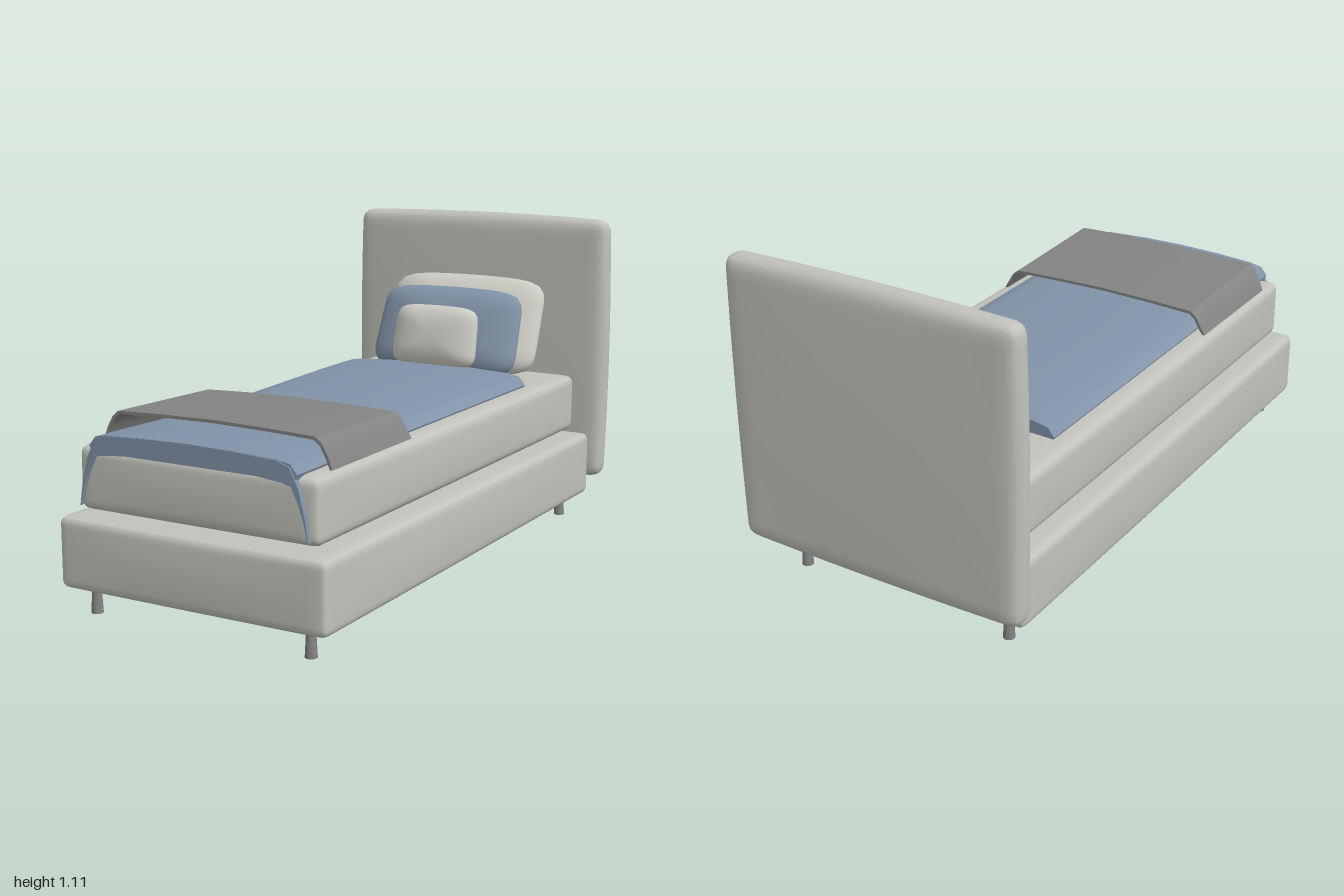
import * as THREE from 'three';
import { mergeVertices, toCreasedNormals } from 'three/addons/utils/BufferGeometryUtils.js';

const material = (name, color, side = THREE.FrontSide) => {
  const m = new THREE.MeshStandardMaterial({ color, side });
  m.name = name;
  return m;
};

// Upholstered block: rounded edges, and faces that swell by "bulge" at the middle.
function cushionBlock(w, h, d, r, bulge) {
  const n = 24;
  const geo = new THREE.BoxGeometry(1, 1, 1, n, n, n);
  const half = [w, h, d].map((s) => s / 2 - bulge);
  const pos = geo.attributes.position;
  const p = new THREE.Vector3(), inner = new THREE.Vector3();
  for (let i = 0; i < pos.count; i++) {
    // rows gather toward the edges, where the rounding is
    p.fromBufferAttribute(pos, i);
    p.set(...p.toArray().map((t, k) => Math.sin(Math.PI * t) * half[k]));
    inner.set(...p.toArray().map((t, k) => THREE.MathUtils.clamp(t, r - half[k], half[k] - r)));
    p.sub(inner).setLength(r).add(inner);
    const u = p.toArray().map((t, k) => t / half[k]);
    const swell = u.map((t, k) =>
      t * bulge * (1 - u[(k + 1) % 3] ** 2) * (1 - u[(k + 2) % 3] ** 2));
    pos.setXYZ(i, p.x + swell[0], p.y + swell[1], p.z + swell[2]);
  }
  geo.deleteAttribute('uv');
  geo.deleteAttribute('normal');
  const out = mergeVertices(geo, 1e-5);
  out.computeVertexNormals();
  return out;
}

// Pillow: a sphere whose outline is squared off and whose depth is flattened.
function pillowGeometry(w, h, t) {
  const geo = new THREE.SphereGeometry(1, 56, 24).rotateX(Math.PI / 2);
  const pos = geo.attributes.position;
  const e = 7;
  for (let i = 0; i < pos.count; i++) {
    const x = pos.getX(i), y = pos.getY(i), z = pos.getZ(i);
    const rho = Math.hypot(x, y);
    let px = 0, py = 0;
    if (rho > 1e-6) {
      const c = x / rho, s = y / rho;
      const k = Math.pow(rho, 0.8) / Math.pow(Math.abs(c) ** e + Math.abs(s) ** e, 1 / e);
      px = k * c;
      py = k * s;
    }
    const taper = 1 - 0.025 * (py + 1);
    pos.setXYZ(i, px * taper * w / 2, py * (1 - 0.06 * px * px) * h / 2, z * t / 2);
  }
  geo.deleteAttribute('uv');
  geo.deleteAttribute('normal');
  const out = mergeVertices(geo, 1e-5);
  out.computeVertexNormals();
  return out;
}

// Closed outline from the right half of an upper and a lower line, both listed from centre outward.
function mirroredShape(upper, lower) {
  const flip = (pts) => pts.filter(([x]) => x > 0).map(([x, y]) => [-x, y]);
  const pts = [
    ...flip(lower).reverse(), ...lower,
    ...[...upper].reverse(), ...flip(upper),
  ];
  return new THREE.Shape(pts.map(([x, y]) => new THREE.Vector2(x, y)));
}

// Cloth swept from z0 to z1, with its height changed by lift(y, z).
function clothGeometry(shape, z0, z1, steps, lift) {
  const geo = new THREE.ExtrudeGeometry(shape, { depth: z1 - z0, steps, bevelEnabled: false });
  geo.translate(0, 0, z0);
  const pos = geo.attributes.position;
  for (let i = 0; i < pos.count; i++) pos.setY(i, pos.getY(i) + lift(pos.getY(i), pos.getZ(i)));
  return toCreasedNormals(geo, 0.6);
}

export function createModel() {
  const bed = new THREE.Group();
  bed.name = 'bed';
  const upholstery = material('warm grey upholstery', 0xc2c2bb);
  const linen = material('light linen', 0xcecec6);
  const blue = material('dusty blue fabric', 0x8293a8, THREE.DoubleSide);
  const grey = material('mid grey', 0x838383, THREE.DoubleSide);

  const add = (name, geo, mat, x = 0, y = 0, z = 0) => {
    const mesh = new THREE.Mesh(geo, mat);
    mesh.name = name;
    mesh.position.set(x, y, z);
    bed.add(mesh);
    return mesh;
  };

  // Frame, mattress and headboard
  add('base', cushionBlock(0.97, 0.245, 1.91, 0.025, 0.008), upholstery, 0, 0.1975, 0.045);
  add('mattress', cushionBlock(0.87, 0.22, 1.83, 0.03, 0.008), upholstery, 0, 0.43, 0.04);
  add('headboard', cushionBlock(1.05, 0.98, 0.11, 0.04, 0.011), upholstery, 0, 0.62, -0.945);

  // Tapered legs
  for (const x of [-0.388, 0.388]) {
    for (const z of [-0.84, 0.925]) {
      add('leg', new THREE.CylinderGeometry(0.014, 0.019, 0.09, 20), grey, x, 0.045, z);
    }
  }

  // Blanket lying on the mattress, gently wavy along its length
  const blanketShape = mirroredShape(
    [[0, 0.58], [0.15, 0.577], [0.3, 0.57], [0.345, 0.562], [0.368, 0.54]],
    [[0, 0.52], [0.36, 0.52]],
  );
  add('blanket', clothGeometry(blanketShape, -0.55, 0.962, 20,
    (y, z) => (y > 0.55 ? 0.007 * Math.cos((z + 0.5) * 4) : 0)), blue);

  // Blanket end, arching over the foot and drooping at the corners
  const flapShape = mirroredShape(
    [[0, 0.586], [0.15, 0.583], [0.3, 0.575], [0.345, 0.56], [0.375, 0.5], [0.395, 0.42], [0.406, 0.35]],
    [[0, 0.53], [0.2, 0.525], [0.32, 0.513], [0.35, 0.505], [0.372, 0.46], [0.39, 0.41], [0.403, 0.35]],
  );
  add('blanketEnd', clothGeometry(flapShape, 0.95, 0.967, 1, () => 0), blue);

  // Throw across the foot of the bed
  const throwShape = mirroredShape(
    [[0, 0.634], [0.2, 0.63], [0.352, 0.624], [0.375, 0.605], [0.395, 0.57], [0.409, 0.532]],
    [[0, 0.624], [0.2, 0.62], [0.348, 0.614], [0.367, 0.599], [0.386, 0.565], [0.4, 0.532]],
  );
  add('throw', clothGeometry(throwShape, 0.37, 0.84, 4,
    (y, z) => (y > 0.56 ? (z - 0.84) * 0.03 : 0)), grey);

  // Pillows leaning back on the headboard: name, size, centre and lean
  const pillows = [
    ['backPillow', linen, 0.65, 0.38, 0.13, 0.705, -0.785, 0.45],
    ['middlePillow', blue, 0.585, 0.325, 0.12, 0.695, -0.668, 0.38],
    ['smallPillow', linen, 0.34, 0.225, 0.1, 0.685, -0.566, 0.22],
  ];
  for (const [name, mat, w, h, t, y, z, lean] of pillows) {
    add(name, pillowGeometry(w, h, t), mat, 0, y, z).rotation.x = -lean;
  }
  return bed;
}
